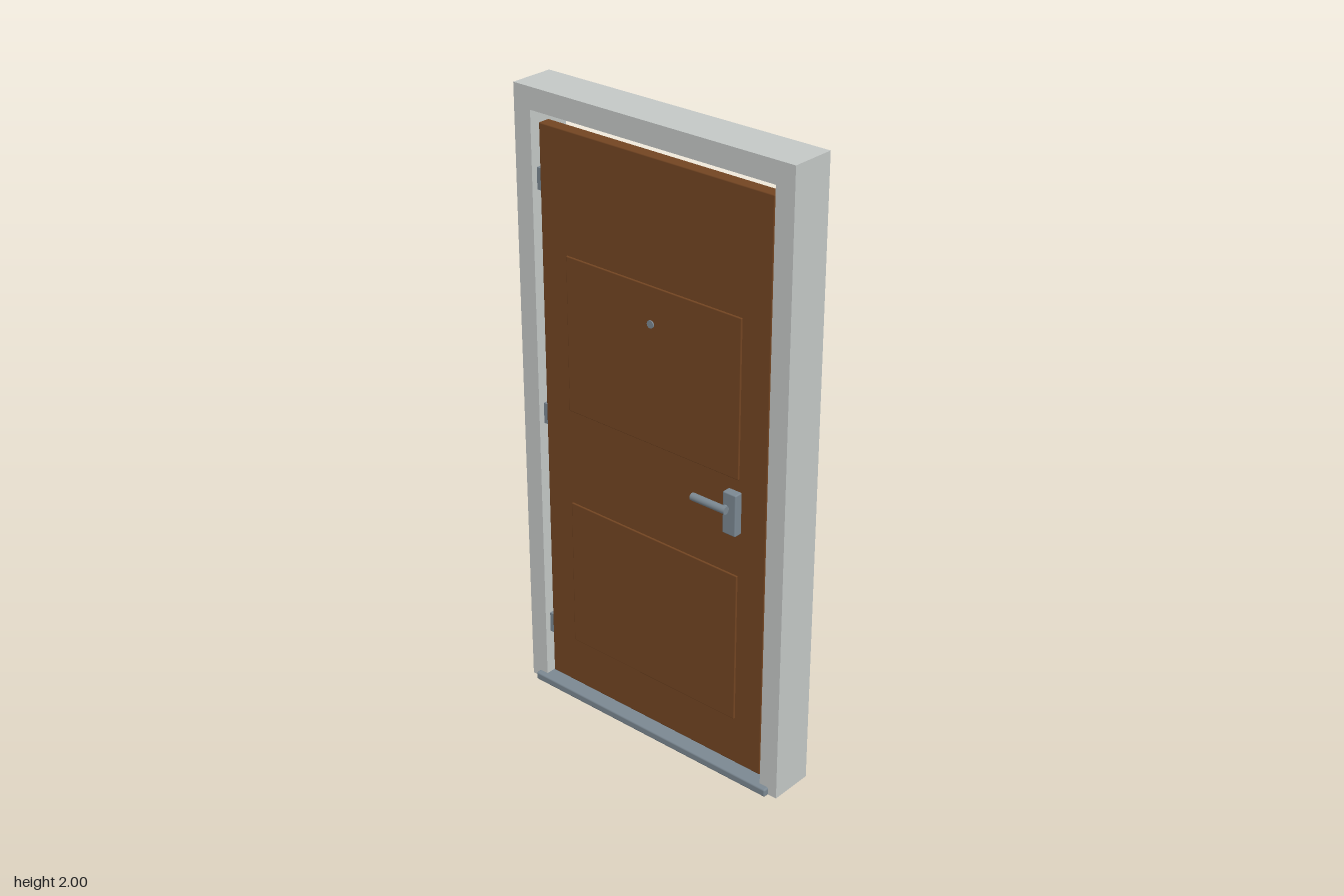
import * as THREE from 'three';
import { RoundedBoxGeometry } from 'three/addons/geometries/RoundedBoxGeometry.js';

export function createModel() {
  const model = new THREE.Group();
  model.name = 'door';

  const mat = (name, color) => {
    const m = new THREE.MeshStandardMaterial({ color });
    m.name = name;
    return m;
  };
  const frameGrey = mat('frame grey', 0xc4c8c6);
  const wood = mat('brown wood', 0x734522);
  const steel = mat('blue grey steel', 0x7b8892);

  const add = (name, geometry, material, x = 0, y = 0, z = 0) => {
    const mesh = new THREE.Mesh(geometry, material);
    mesh.name = name;
    mesh.position.set(x, y, z);
    model.add(mesh);
    return mesh;
  };
  // Box given by its limits, with an optional edge radius
  const block = (name, material, [x0, x1], [y0, y1], [z0, z1], r = 0) => {
    const size = [x1 - x0, y1 - y0, z1 - z0];
    const geometry = r ? new RoundedBoxGeometry(...size, 3, r) : new THREE.BoxGeometry(...size);
    return add(name, geometry, material, (x0 + x1) / 2, (y0 + y1) / 2, (z0 + z1) / 2);
  };

  // Frame: one upside-down U, extruded through the wall depth
  const outline = new THREE.Shape([
    [-0.503, 0.002], [-0.44, 0.002], [-0.44, 1.932], [0.44, 1.932],
    [0.44, 0.002], [0.503, 0.002], [0.503, 2], [-0.503, 2],
  ].map(([x, y]) => new THREE.Vector2(x, y)));
  add('frame', new THREE.ExtrudeGeometry(outline, { depth: 0.145, bevelEnabled: false }),
    frameGrey, 0, 0, -0.083);

  // Threshold, running past the frame on both sides
  block('threshold', steel, [-0.473, 0.473], [0, 0.027], [-0.1, 0.08], 0.006);

  // Leaf with two shallow raised panels on the front
  block('doorLeaf', wood, [-0.425, 0.425], [0.04, 1.895], [0.005, 0.045], 0.004);
  for (const [name, y] of [['upperPanel', 1.016], ['lowerPanel', 0.2]]) {
    block(name, wood, [-0.326, 0.326], [y, y + 0.5], [0.04, 0.05], 0.003);
  }

  // Hinges in the gap on the side away from the handle
  for (const y of [0.215, 0.967, 1.722]) {
    block('hinge', steel, [-0.442, -0.42], [y - 0.034, y + 0.034], [0.012, 0.042]);
  }

  // Peephole, through the leaf
  const peephole = add('peephole', new THREE.CylinderGeometry(0.012, 0.012, 0.056, 24), steel, 0, 1.4, 0.026);
  peephole.rotation.x = Math.PI / 2;

  // Handle: plate, spindle and lever
  block('handlePlate', steel, [0.289, 0.337], [0.845, 0.98], [0.045, 0.074], 0.004);
  const spindle = add('handleSpindle', new THREE.CylinderGeometry(0.01, 0.01, 0.03, 20), steel, 0.301, 0.93, 0.073);
  spindle.rotation.x = Math.PI / 2;
  const lever = add('handleLever', new THREE.CylinderGeometry(0.012, 0.012, 0.126, 24), steel, 0.25, 0.93, 0.086);
  lever.rotation.z = Math.PI / 2;

  return model;
}
